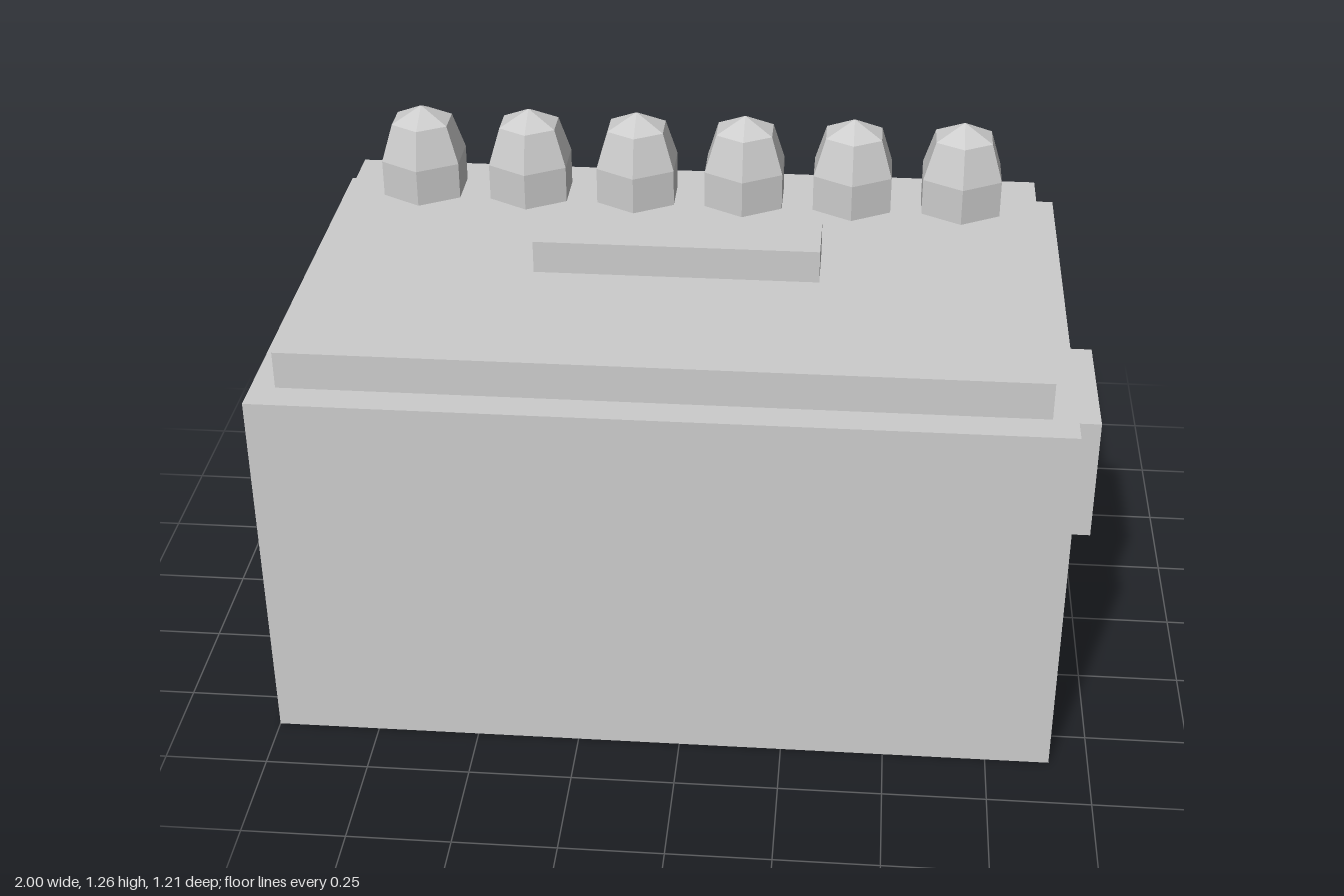
import * as THREE from 'three';

export function createModel() {
  const model = new THREE.Group();
  model.name = 'batteryBox';
  const grey = new THREE.MeshStandardMaterial({ color: 0xcccccc, flatShading: true });
  grey.name = 'plain grey';

  const add = (name, geometry) => {
    const mesh = new THREE.Mesh(geometry, grey);
    mesh.name = name;
    model.add(mesh);
    return mesh;
  };

  // Box given by its low and high limits on each axis
  const block = (name, [x0, x1], [y0, y1], [z0, z1]) =>
    add(name, new THREE.BoxGeometry(x1 - x0, y1 - y0, z1 - z0))
      .position.set((x0 + x1) / 2, (y0 + y1) / 2, (z0 + z1) / 2);

  block('case', [-1, 0.905], [0, 0.932], [-0.603, 0.603]);
  block('lid', [-0.942, 0.846], [0.932, 1.025], [-0.525, 0.525]);
  block('lidBar', [-0.398, 0.3], [1.025, 1.107], [-0.082, 0.082]);
  block('sidePlate', [0.905, 1], [0.392, 0.718], [-0.185, 0.185]);

  // Row of six-sided filler caps along the back of the lid
  const profile = [[0.115, 0], [0.115, 0.095], [0.082, 0.192], [0, 0.231]]
    .map(([r, y]) => new THREE.Vector2(r, y));
  const capGeometry = new THREE.LatheGeometry(profile, 6);
  for (let i = 0; i < 6; i++) {
    add('cap' + (i + 1), capGeometry).position.set(-0.747 + i * 0.279, 1.025, -0.373);
  }

  return model;
}
